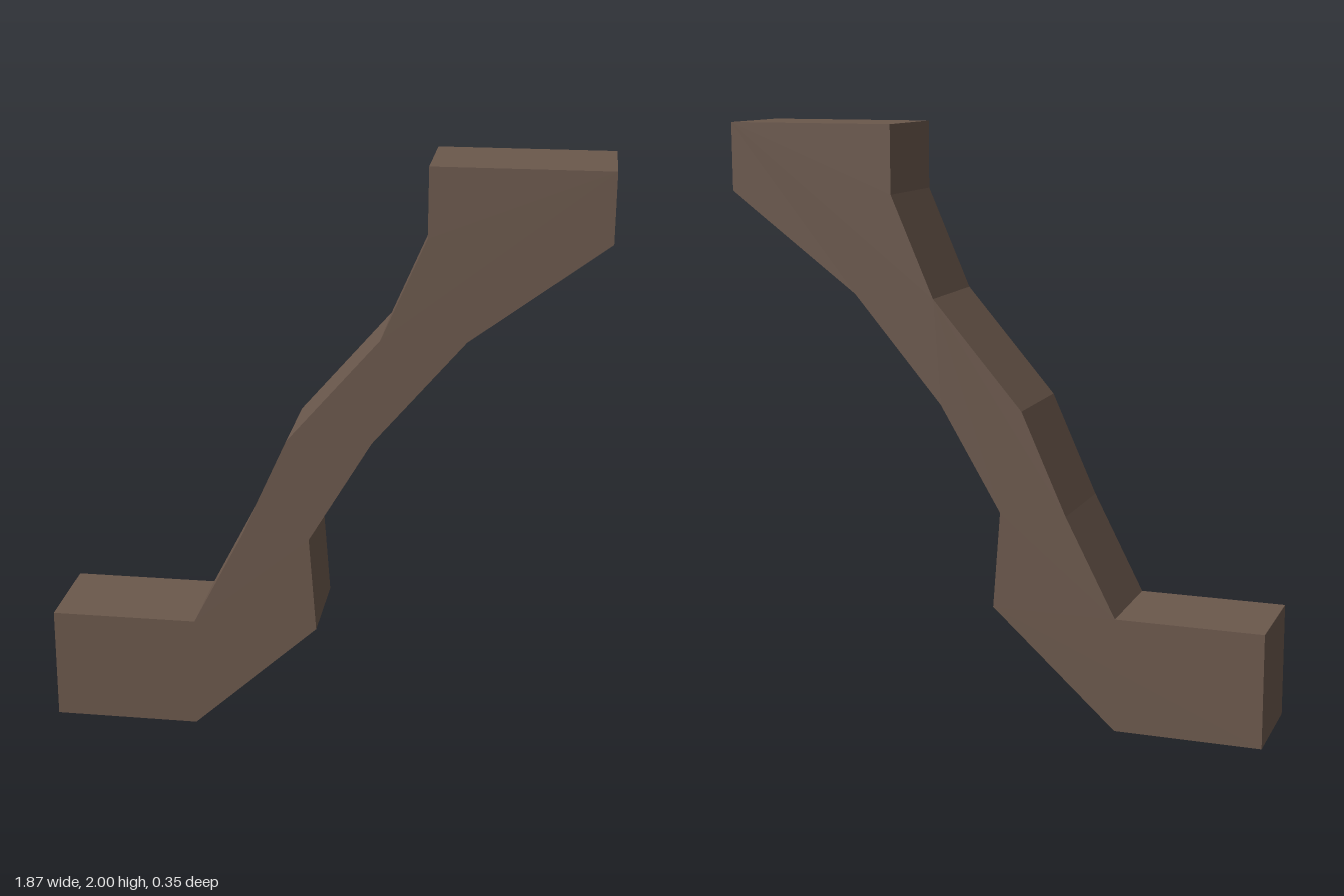
import * as THREE from 'three';

export function createModel() {
  const group = new THREE.Group();
  group.name = 'bracket';
  const brown = new THREE.MeshStandardMaterial({ color: 0x6b584c });
  brown.name = 'brown';

  // Side outline, counter-clockwise from the foot's lower outer corner
  const outline = [
    [-0.935, 0], [-0.435, 0], [-0.005, 0.39], [-0.03, 0.72], [0.18, 1.075],
    [0.485, 1.435], [0.933, 1.77], [0.933, 2], [0.352, 2], [0.352, 1.77],
    [0.205, 1.43], [-0.105, 1.07], [-0.26, 0.725], [-0.433, 0.39], [-0.935, 0.39],
  ].map(([x, y]) => new THREE.Vector2(x, y));

  // Curved brace with foot and top pad, one solid of constant depth
  const depth = 0.346;
  const geometry = new THREE.ExtrudeGeometry(new THREE.Shape(outline), { depth, bevelEnabled: false });
  geometry.translate(0, 0, -depth / 2);
  const brace = new THREE.Mesh(geometry, brown);
  brace.name = 'brace';
  group.add(brace);
  return group;
}
